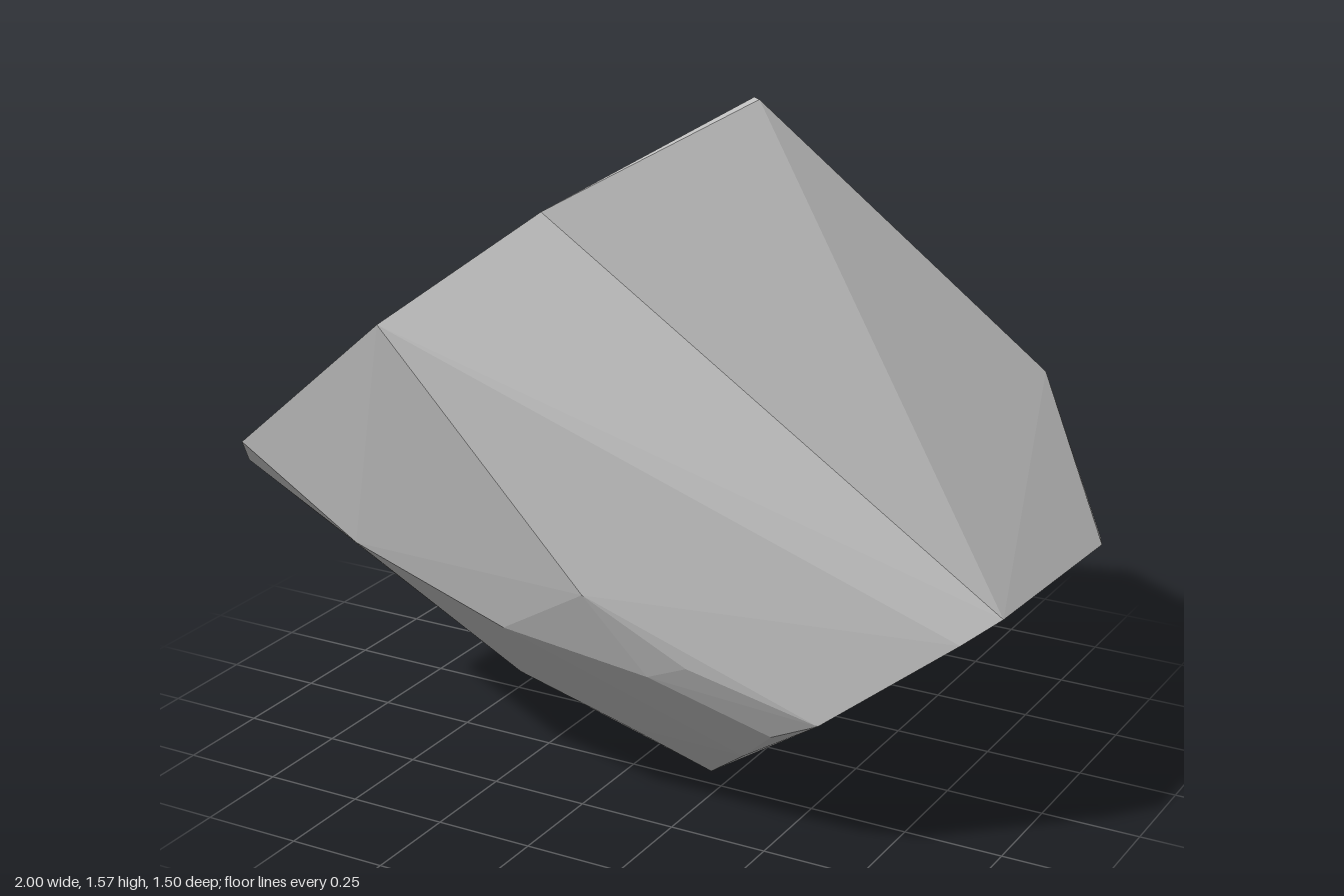
import * as THREE from 'three';
import { ConvexGeometry } from 'three/addons/geometries/ConvexGeometry.js';

// Chipped corners of the boulder, grouped by the cleaved plane they bound
const leftSlope = [
  [-1, 0.705, -0.41], [-1, 0.705, 0.46], [-0.86, 0.84, 0.66], [-0.38, 1.235, 0.75],
  [-0.14, 1.455, 0.42], [-0.035, 1.57, -0.44], [-0.62, 1.03, -0.64],
  [-0.75, 0.93, -0.63], [-0.87, 0.82, -0.56],
];
const rightSlope = [
  [-0.01, 1.57, -0.42], [0.71, 0.9, -0.635], [0.12, 0.645, 0.687],
];
const rightUnderside = [
  [0.98, 0.6, 0.25], [1, 0.59, -0.32], [0.93, 0.535, -0.5], [0.79, 0.45, -0.635],
  [0.33, 0.09, -0.745], [0.28, 0.06, -0.75], [0.19, 0, 0.19],
  [0.4, 0.19, 0.42], [0.64, 0.36, 0.51], [0.91, 0.55, 0.33],
];
const frontRim = [
  [-0.72, 0.72, 0.6], [-0.53, 0.64, 0.66], [-0.12, 0.5, 0.65],
  [0.25, 0.44, 0.615], [0.35, 0.48, 0.61], [0.52, 0.305, 0.51],
];
const base = [
  [0.07, 0.02, -0.23], [-0.4, 0.24, -0.22], [-0.66, 0.39, -0.21],
  [-0.61, 0.365, 0.26], [-0.28, 0.225, 0.33], [0.03, 0.145, 0.33],
];

export function createModel() {
  const group = new THREE.Group();
  group.name = 'rock';

  const stone = new THREE.MeshStandardMaterial({ color: 0xc2c2c2 });
  stone.name = 'stone grey';
  stone.flatShading = true;

  // Faceted convex boulder
  const corners = [leftSlope, rightSlope, rightUnderside, frontRim, base]
    .flat()
    .map((p) => new THREE.Vector3(...p));
  const boulder = new THREE.Mesh(new ConvexGeometry(corners), stone);
  boulder.name = 'boulder';
  group.add(boulder);

  return group;
}
